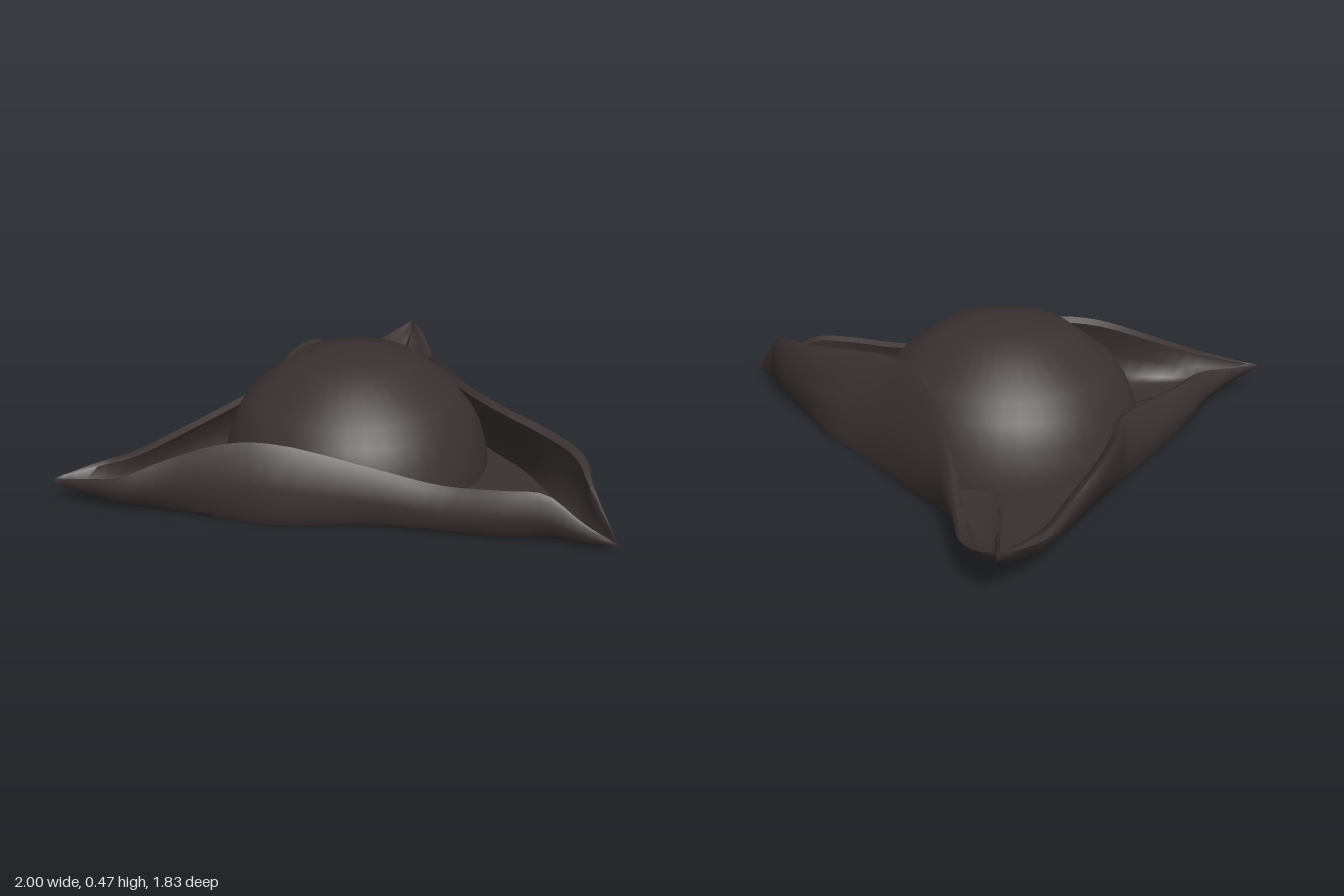
import * as THREE from 'three';
import { toCreasedNormals } from 'three/addons/utils/BufferGeometryUtils.js';

const felt = new THREE.MeshStandardMaterial({ color: 0x3a3131, side: THREE.DoubleSide });
felt.name = 'dark brown felt';

const CROWN = new THREE.Vector3(-0.06, 0, -0.27);
const CROWN_RADIUS = 0.51;

// The three points of the brim, and how high the underside lifts at each
const frontTip = { point: new THREE.Vector3(-0.08, 0.035, 0.91), lift: 0.025 };
const leftTip = { point: new THREE.Vector3(1, 0.19, -0.82), lift: 0.16 };
const rightTip = { point: new THREE.Vector3(-1, 0.1, -0.92), lift: 0.085 };

// Rim of each turned-up side: x, y, z and how far the foot of the wall stands outside the rim
const leftRim = [
  [0, 0.19, 0.76, 0], [0.08, 0.25, 0.68, -0.01], [0.14, 0.275, 0.5, 0.03],
  [0.165, 0.31, 0.25, 0.14], [0.21, 0.34, 0.05, 0.17], [0.32, 0.335, -0.11, 0.14],
  [0.45, 0.3, -0.26, 0.09], [0.6, 0.22, -0.4, 0], [0.75, 0.13, -0.52, -0.06],
  [0.88, 0.12, -0.62, -0.08], [0.98, 0.165, -0.75, -0.05],
];
const backRim = [
  [0.9, 0.165, -0.85, -0.05], [0.72, 0.14, -0.87, -0.08], [0.55, 0.18, -0.875, -0.08],
  [0.4, 0.25, -0.9, -0.1], [0.2, 0.255, -0.86, -0.05], [0, 0.22, -0.785, 0.035],
  [-0.48, 0.16, -0.8, 0.03], [-0.72, 0.14, -0.815, 0], [-0.87, 0.12, -0.88, -0.04],
];
const rightRim = [
  [-0.965, 0.12, -0.78, -0.03], [-0.94, 0.14, -0.66, -0.06], [-0.82, 0.21, -0.52, -0.02],
  [-0.7, 0.28, -0.34, 0.03], [-0.61, 0.29, -0.18, 0.05], [-0.42, 0.21, 0.13, 0.02],
  [-0.32, 0.17, 0.33, 0.02], [-0.24, 0.18, 0.54, 0], [-0.175, 0.18, 0.67, -0.02],
  [-0.135, 0.1, 0.8, -0.02],
];

// Height of the foot of the wall: flat on the ground, rising close to a tip
function footHeight(foot, tip) {
  const distance = Math.hypot(foot.x - tip.point.x, foot.z - tip.point.z);
  return tip.lift * Math.max(0, 1 - distance / 0.45) ** 2;
}

// One section of the brim: underside, outer wall, rim, inner wall, floor
function brimSection(foot, rim, out, taper) {
  const at = (f, push, raise = 0) => {
    const p = foot.clone().lerp(rim, f).addScaledVector(out, push * taper);
    p.y += raise * taper;
    return p;
  };
  const seam = foot.clone().sub(CROWN).setY(0).setLength(CROWN_RADIUS).add(CROWN);
  return [
    seam.clone().setY(0.012),
    at(0, -0.02),
    at(0.12, 0.002),
    at(0.5, 0.018),
    at(0.92, 0.004),
    at(1, -0.015, 0.004),
    at(0.95, -0.04),
    at(0.5, -0.014),
    at(0.15, -0.025, 0.01),
    at(0, -0.04, 0.022),
    seam.clone().setY(0.03),
  ];
}

// All sections of one side, running from tip to tip
function sideSections(start, rimPoints, end) {
  const STEPS = 36;
  const run = end.point.clone().sub(start.point);
  const out = new THREE.Vector3(-run.z, 0, run.x).normalize();
  const rims = [start.point], feet = [start.point];
  for (const [x, y, z, lean] of rimPoints) {
    const rim = new THREE.Vector3(x, y, z);
    rims.push(rim);
    feet.push(rim.clone().addScaledVector(out, lean));
  }
  const rimCurve = new THREE.CatmullRomCurve3([...rims, end.point]);
  const footCurve = new THREE.CatmullRomCurve3([...feet, end.point]);
  return Array.from({ length: STEPS + 1 }, (_, i) => {
    const t = i / STEPS;
    const foot = footCurve.getPoint(t);
    foot.y = footHeight(foot, start) + footHeight(foot, end);
    return brimSection(foot, rimCurve.getPoint(t), out, Math.min(1, 6 * t, 6 * (1 - t)));
  });
}

function createBrim() {
  const sections = [
    ...sideSections(frontTip, leftRim, leftTip),
    ...sideSections(leftTip, backRim, rightTip),
    ...sideSections(rightTip, rightRim, frontTip),
  ];
  const n = sections[0].length;
  const index = [];
  for (let i = 0; i < sections.length - 1; i++) {
    for (let j = 0; j < n - 1; j++) {
      const a = i * n + j, b = a + n;
      index.push(a, b, b + 1, a, b + 1, a + 1);
    }
  }
  const geometry = new THREE.BufferGeometry().setFromPoints(sections.flat());
  geometry.setIndex(index);
  return toCreasedNormals(geometry, 1.1);
}

function createCrown() {
  const profile = [
    [CROWN_RADIUS, 0.01], [0.505, 0.08], [0.48, 0.17], [0.445, 0.25],
    [0.395, 0.32], [0.235, 0.44], [0.12, 0.457], [0, 0.468],
  ].map(([r, y]) => new THREE.Vector2(r, y));
  return new THREE.LatheGeometry(profile, 40);
}

export function createModel() {
  const hat = new THREE.Group();
  hat.name = 'threeCorneredHat';

  const brim = new THREE.Mesh(createBrim(), felt);
  brim.name = 'brim';

  const crown = new THREE.Mesh(createCrown(), felt);
  crown.name = 'crown';
  crown.position.copy(CROWN);

  hat.add(brim, crown);
  return hat;
}
